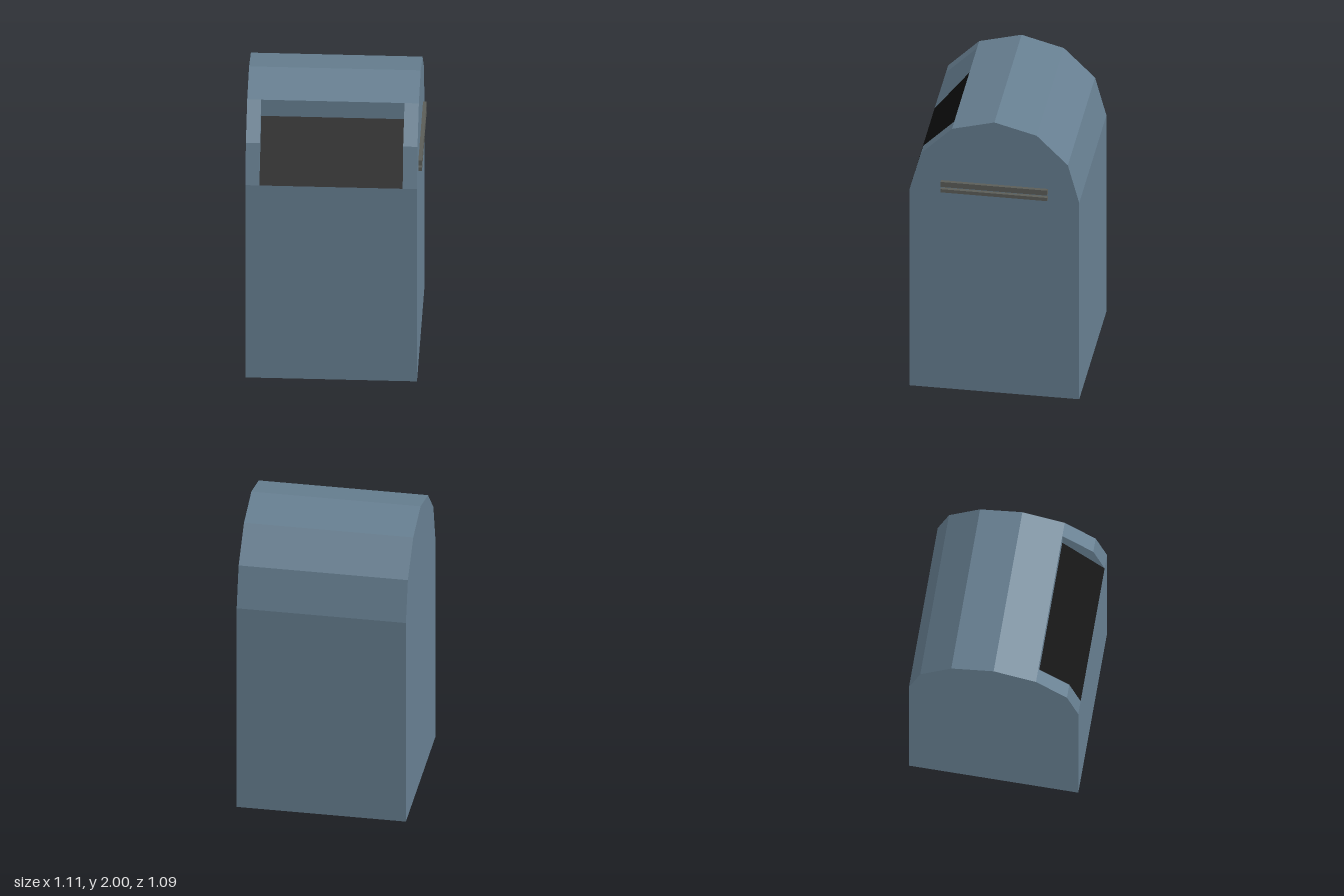
import * as THREE from 'three';

const blue = new THREE.MeshStandardMaterial({ color: 0x667e90, side: THREE.DoubleSide });
blue.name = 'blue steel';
const black = new THREE.MeshStandardMaterial({ color: 0x0f0f0f, side: THREE.DoubleSide });
black.name = 'black chute';
const grey = new THREE.MeshStandardMaterial({ color: 0x5b5d58 });
grey.name = 'grey metal';

const X0 = -0.557, X1 = 0.533;    // outer walls
const C0 = -0.468, C1 = 0.442;    // slot cheeks
const MID = (X0 + X1) / 2;
const R = 0.545, SPRING = 1.455;  // dome radius and the height where it starts
const CHUTE_TOP = 1.805;

// Flat-faced sheet: sweeps a [z, y] polyline from x0 to x1
function sheet(points, x0, x1) {
  const v = [];
  for (let i = 0; i < points.length - 1; i++) {
    const [z0, y0] = points[i], [z1, y1] = points[i + 1];
    v.push(x0, y0, z0, x1, y0, z0, x1, y1, z1, x0, y0, z0, x1, y1, z1, x0, y1, z1);
  }
  const g = new THREE.BufferGeometry();
  g.setAttribute('position', new THREE.Float32BufferAttribute(v, 3));
  g.computeVertexNormals();
  return g;
}

// Flat wall across x from a [z, y] outline; dir is the x direction it faces
function wall(points, x, dir) {
  const shape = new THREE.Shape(points.map(([z, y]) => new THREE.Vector2(-dir * z, y)));
  return new THREE.ShapeGeometry(shape).rotateY(dir * Math.PI / 2).translate(x, 0, 0);
}

export function createModel() {
  const model = new THREE.Group();
  model.name = 'streetBin';
  const add = (name, geometry, material) => {
    const mesh = new THREE.Mesh(geometry, material);
    mesh.name = name;
    model.add(mesh);
    return mesh;
  };

  // Side profile: half a twelve-sided dome over straight walls, front to back
  const dome = [];
  for (let i = 0; i <= 6; i++) {
    const a = i * Math.PI / 6;
    dome.push([R * Math.cos(a), SPRING + R * Math.sin(a)]);
  }
  const profile = [[R, 0], ...dome, [-R, 0]];
  const slot = dome.slice(0, 3);

  // Open-bottomed shell with the front slot left out
  add('frontPanel', sheet(profile.slice(0, 2), X0, X1), blue);
  add('roofAndBack', sheet(profile.slice(3), X0, X1), blue);
  add('rightSlotFrame', sheet(slot, X0, C0), blue);
  add('leftSlotFrame', sheet(slot, C1, X1), blue);
  add('rightWall', wall(profile, X0, -1), blue);
  add('leftWall', wall(profile, X1, 1), blue);

  // Slot recess: cheeks, upright back and sloping chute
  const top = slot[2];
  const chuteEnd = [top[0], CHUTE_TOP];
  add('rightCheek', wall([...slot, chuteEnd], C0, 1), blue);
  add('leftCheek', wall([...slot, chuteEnd], C1, -1), blue);
  add('slotBack', sheet([chuteEnd, top], C0, C1), blue);
  add('chute', sheet([slot[0], chuteEnd], C0, C1), black);

  // Two rails on the left wall
  for (const [name, y, h] of [['upperRail', 1.522, 0.037], ['lowerRail', 1.475, 0.024]]) {
    add(name, new THREE.BoxGeometry(0.034, h, 0.686), grey).position.set(0.539, y, 0);
  }

  // Posts standing inside the shell
  for (const s of [-1, 1]) {
    const h = 1.95;
    add(s < 0 ? 'rightPost' : 'leftPost', new THREE.BoxGeometry(0.135, h, 0.135), grey)
      .position.set(MID + s * 0.283, h / 2 + 0.003, 0);
  }
  return model;
}
